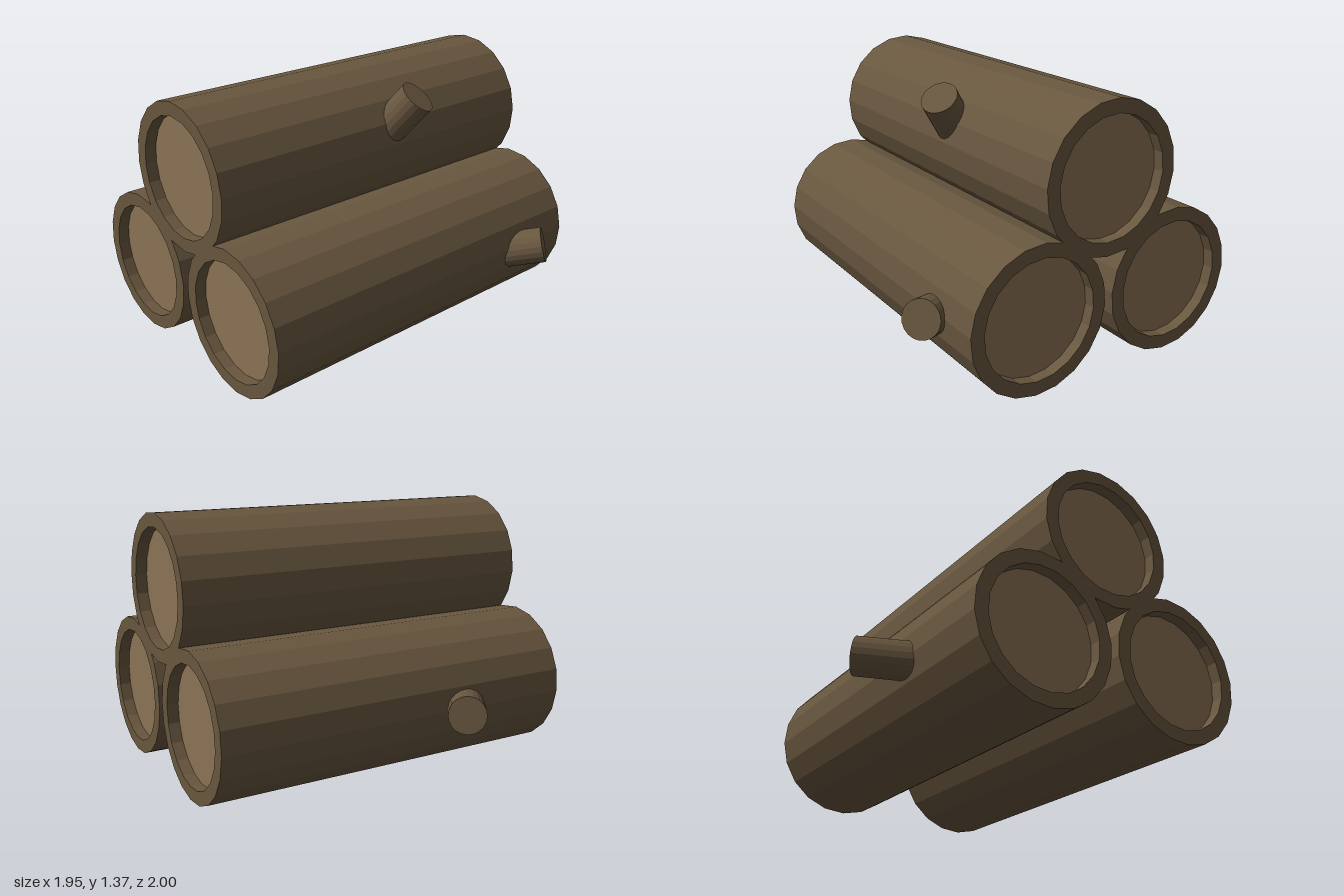
import * as THREE from 'three';

const SIDES = 20;
const TURN = THREE.MathUtils.degToRad(3.7);
const R = 0.382, INNER = 0.31, RECESS = 0.06;

const bark = new THREE.MeshStandardMaterial({ color: 0x69573f, flatShading: true });
const wood = new THREE.MeshStandardMaterial({ color: 0x8b7355, flatShading: true });

// A log along z: bark shell with a raised rim at both ends, around a paler core
function makeLog(name, x, y) {
  const log = new THREE.Group();
  log.name = name;
  const e = 1 - RECESS;
  const profile = [[INNER, -e], [INNER, -1], [R, -1], [R, 1], [INNER, 1], [INNER, e]]
    .map(([r, h]) => new THREE.Vector2(r, h));
  const shell = new THREE.Mesh(new THREE.LatheGeometry(profile, SIDES, TURN, Math.PI * 2), bark);
  shell.name = 'bark';
  const core = new THREE.Mesh(
    new THREE.CylinderGeometry(INNER, INNER, 2 * e, SIDES, 1, false, TURN), wood);
  core.name = 'core';
  log.add(shell, core);
  log.rotation.x = Math.PI / 2;
  log.position.set(x, y, 0);
  return log;
}

// A cut branch stub, given by the centre of its tip and its outward direction
function makeBranch(name, tip, direction) {
  const length = 0.4, radius = 0.097;
  const dir = new THREE.Vector3(...direction).normalize();
  const branch = new THREE.Mesh(new THREE.CylinderGeometry(radius, radius, length, SIDES), bark);
  branch.name = name;
  branch.quaternion.setFromUnitVectors(new THREE.Vector3(0, 1, 0), dir);
  branch.position.set(...tip).addScaledVector(dir, -length / 2);
  return branch;
}

export function createModel() {
  const pile = new THREE.Group();
  pile.name = 'logPile';
  pile.add(
    makeLog('rightLog', -0.365, 0.382),
    makeLog('leftLog', 0.44, 0.382),
    makeLog('topLog', 0.038, 0.989),
    makeBranch('rightBranch', [-0.917, 0.39, 0.24], [-0.79, 0.13, -0.6]),
    makeBranch('leftBranch', [0.915, 0.415, -0.732], [0.77, 0.26, -0.58]),
    makeBranch('topBranch', [0.467, 1.265, -0.168], [0.56, 0.77, -0.3]),
  );
  return pile;
}
